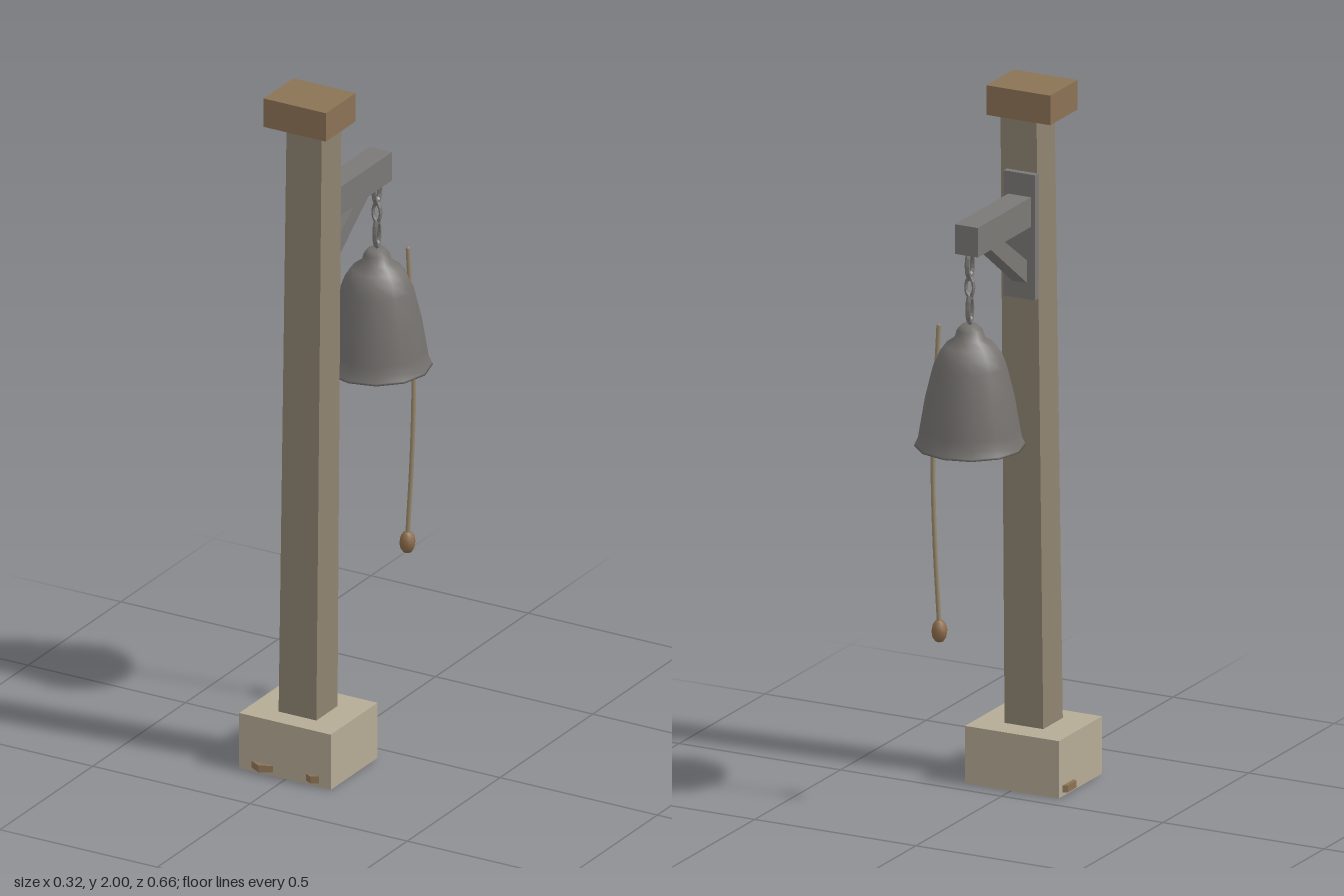
import * as THREE from 'three';

const mat = (color, flat = true) =>
  new THREE.MeshStandardMaterial({ color, flatShading: flat });

export function createModel() {
  const model = new THREE.Group();
  const stone = mat(0xb5ab95), wood = mat(0x8f8371), darkWood = mat(0x8b7355);
  const iron = mat(0x7b7976), bellMetal = mat(0x74716e, false), ropeMat = mat(0x9a8a70, false);

  const add = (name, geometry, material, x = 0, y = 0, z = 0) => {
    const mesh = new THREE.Mesh(geometry, material);
    mesh.name = name;
    mesh.position.set(x, y, z);
    model.add(mesh);
    return mesh;
  };
  // Box given by its lower and upper limits on each axis
  const block = (name, material, [x0, x1], [y0, y1], [z0, z1]) =>
    add(name, new THREE.BoxGeometry(x1 - x0, y1 - y0, z1 - z0), material,
      (x0 + x1) / 2, (y0 + y1) / 2, (z0 + z1) / 2);

  // Stone footing with small hexagonal stones poking out near the ground
  block('base', stone, [-0.148, 0.143], [0, 0.165], [0.055, 0.307]);
  for (const [x, z, r] of [[-0.075, 0.277, 0.05], [0.085, 0.279, 0.04], [-0.117, 0.11, 0.05]]) {
    add('footStone', new THREE.CylinderGeometry(r, r, 0.02, 6), darkWood, x, 0.021, z);
  }

  // Post: tapers slightly and leans towards +x
  const post = new THREE.BoxGeometry(0.12, 1.77, 0.114);
  const p = post.attributes.position;
  for (let i = 0; i < p.count; i++) {
    if (p.getY(i) > 0) {
      p.setX(i, p.getX(i) * 0.93 + 0.019);
      p.setZ(i, p.getZ(i) * 0.93);
    }
  }
  post.computeVertexNormals();
  add('post', post, wood, 0, 1.045, 0.187);
  block('postCap', darkWood, [-0.095, 0.103], [1.915, 2], [0.105, 0.265]);

  // Bracket: wall plate, arm and diagonal brace
  block('bracketPlate', iron, [-0.043, 0.055], [1.4, 1.76], [0.115, 0.137]);
  block('bracketArm', iron, [-0.03, 0.041], [1.61, 1.695], [-0.195, 0.117]);
  const braceShape = new THREE.Shape([
    [-0.117, 1.445], [0.11, 1.612], [0.03, 1.612], [-0.117, 1.51],
  ].map(([x, y]) => new THREE.Vector2(x, y)));
  const brace = new THREE.ExtrudeGeometry(braceShape, { depth: 0.046, bevelEnabled: false });
  add('bracketBrace', brace, iron, -0.018, 0, 0).rotation.y = Math.PI / 2;

  // Chain of alternating links
  const cx = 0.005, cz = -0.176;
  [[1.58, 0.021, 0.046, true], [1.515, 0.016, 0.036, false], [1.452, 0.016, 0.048, true]]
    .forEach(([y, halfWidth, halfHeight, sideways]) => {
      const link = new THREE.TorusGeometry(0.75, 0.25, 6, 12);
      link.scale(halfWidth, halfHeight, 0.03);
      if (sideways) link.rotateY(Math.PI / 2);
      add('chainLink', link, iron, cx, y, cz);
    });

  // Bell: inner wall down to the lip, then the outer wall up to the crown
  const profile = [
    [0, 1.32], [0.05, 1.31], [0.08, 1.27], [0.105, 1.2], [0.125, 1.1], [0.142, 1.06],
    [0.153, 1.06], [0.151, 1.066], [0.142, 1.085], [0.138, 1.11], [0.123, 1.2],
    [0.101, 1.29], [0.088, 1.325], [0.07, 1.349], [0.043, 1.368], [0.036, 1.392],
    [0.024, 1.406], [0, 1.408],
  ].map(([r, y]) => new THREE.Vector2(r, y));
  add('bell', new THREE.LatheGeometry(profile, 12), bellMetal, cx, 0, cz);

  // Pull rope with a wooden knob
  const path = new THREE.CatmullRomCurve3([
    [0.078, 1.405], [0.089, 1.2], [0.096, 1.02], [0.091, 0.8], [0.076, 0.54],
  ].map(([x, y]) => new THREE.Vector3(x, y, -0.22)));
  add('rope', new THREE.TubeGeometry(path, 16, 0.0065, 6), ropeMat);
  add('ropeTip', new THREE.SphereGeometry(0.0065, 6, 4), ropeMat, 0.078, 1.405, -0.22);
  const knob = new THREE.SphereGeometry(0.023, 8, 6);
  knob.scale(1, 1.45, 1);
  add('ropeKnob', knob, mat(0x8b6b4a, false), 0.076, 0.527, -0.22);

  return model;
}
